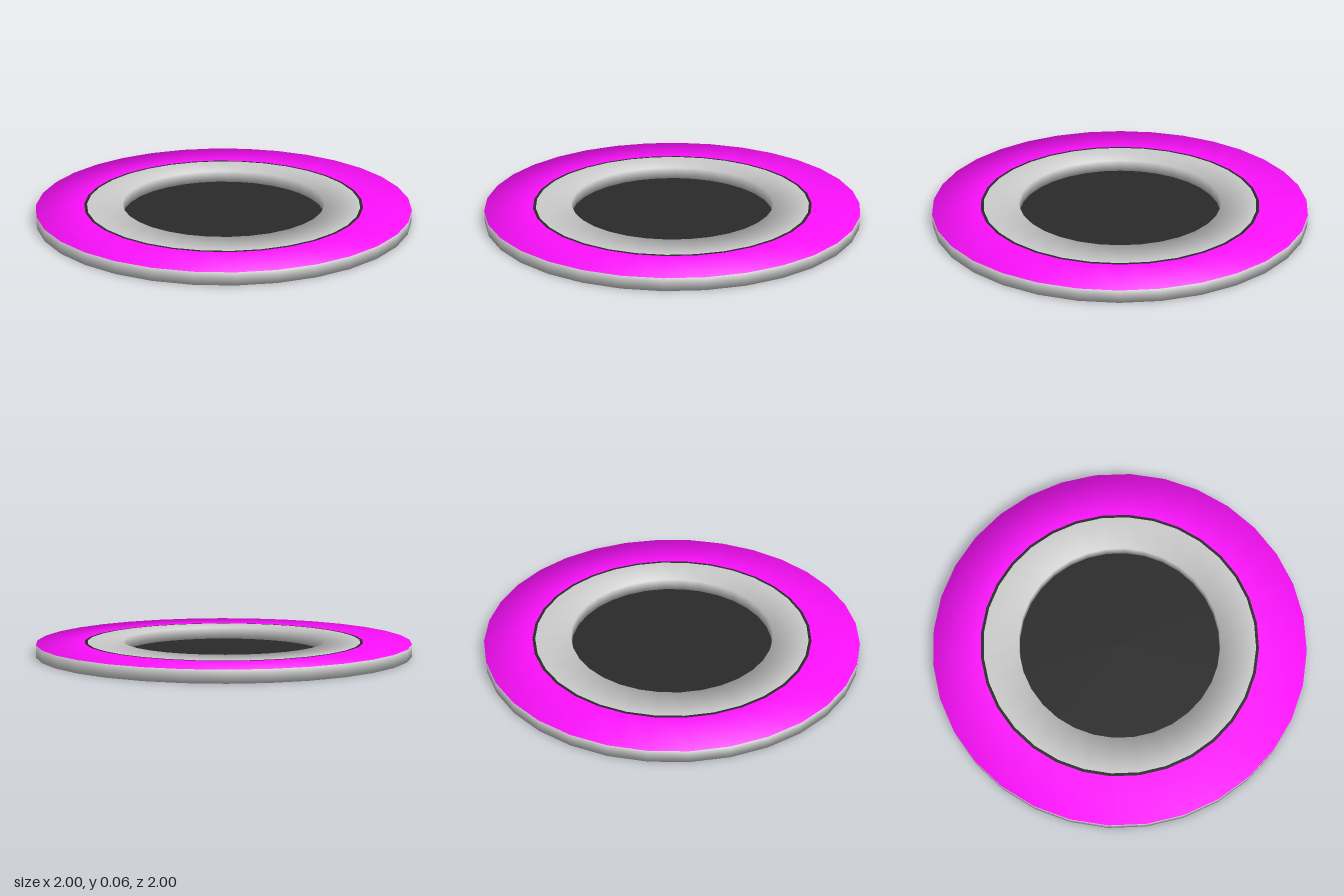
import * as THREE from 'three';

const SIDES = 32, H = 0.065;
const R_OUT = 1, R_TRIM_OUT = 0.745, R_TRIM_IN = 0.73, R_HOLE = 0.54;
const D = Math.SQRT1_2; // slanted normal on the softly shaded rims

// Revolves a profile of [radius, y, normalRadial, normalY] points around y.
function ring(name, color, profile) {
  const geo = new THREE.LatheGeometry(profile.map(([r, y]) => new THREE.Vector2(r, y)), SIDES);
  const normals = geo.attributes.normal;
  for (let i = 0; i <= SIDES; i++) {
    const a = (i / SIDES) * Math.PI * 2;
    profile.forEach(([, , nr, ny], j) =>
      normals.setXYZ(i * profile.length + j, nr * Math.sin(a), ny, nr * Math.cos(a)));
  }
  const mesh = new THREE.Mesh(geo, new THREE.MeshStandardMaterial({ color }));
  mesh.name = name;
  return mesh;
}

export function createModel() {
  const model = new THREE.Group();
  model.name = 'ringPlate';

  // Inner top band, hole wall, underside and outer wall as one smooth skin
  model.add(ring('body', 0xcccccc, [
    [R_TRIM_IN, H, 0, 1],
    [R_HOLE, H, -D, D],
    [R_HOLE, 0, -D, -D],
    [R_OUT, 0, D, -D],
    [R_OUT, H, D, D],
  ]));

  // Coloured outer band
  model.add(ring('outerBand', 0xff10ff, [
    [R_OUT, H, D, D],
    [R_TRIM_OUT, H, 0, 1],
  ]));

  // Thin dark line between the two bands
  model.add(ring('trimLine', 0x2a2a2a, [
    [R_TRIM_OUT, H, 0, 1],
    [R_TRIM_IN, H, 0, 1],
  ]));

  // Dark floor closing the hole at the bottom
  const floor = new THREE.Mesh(
    new THREE.CircleGeometry(R_HOLE, SIDES).rotateX(-Math.PI / 2),
    new THREE.MeshStandardMaterial({ color: 0x2a2a2a, side: THREE.DoubleSide }));
  floor.name = 'centreFloor';
  model.add(floor);

  return model;
}
